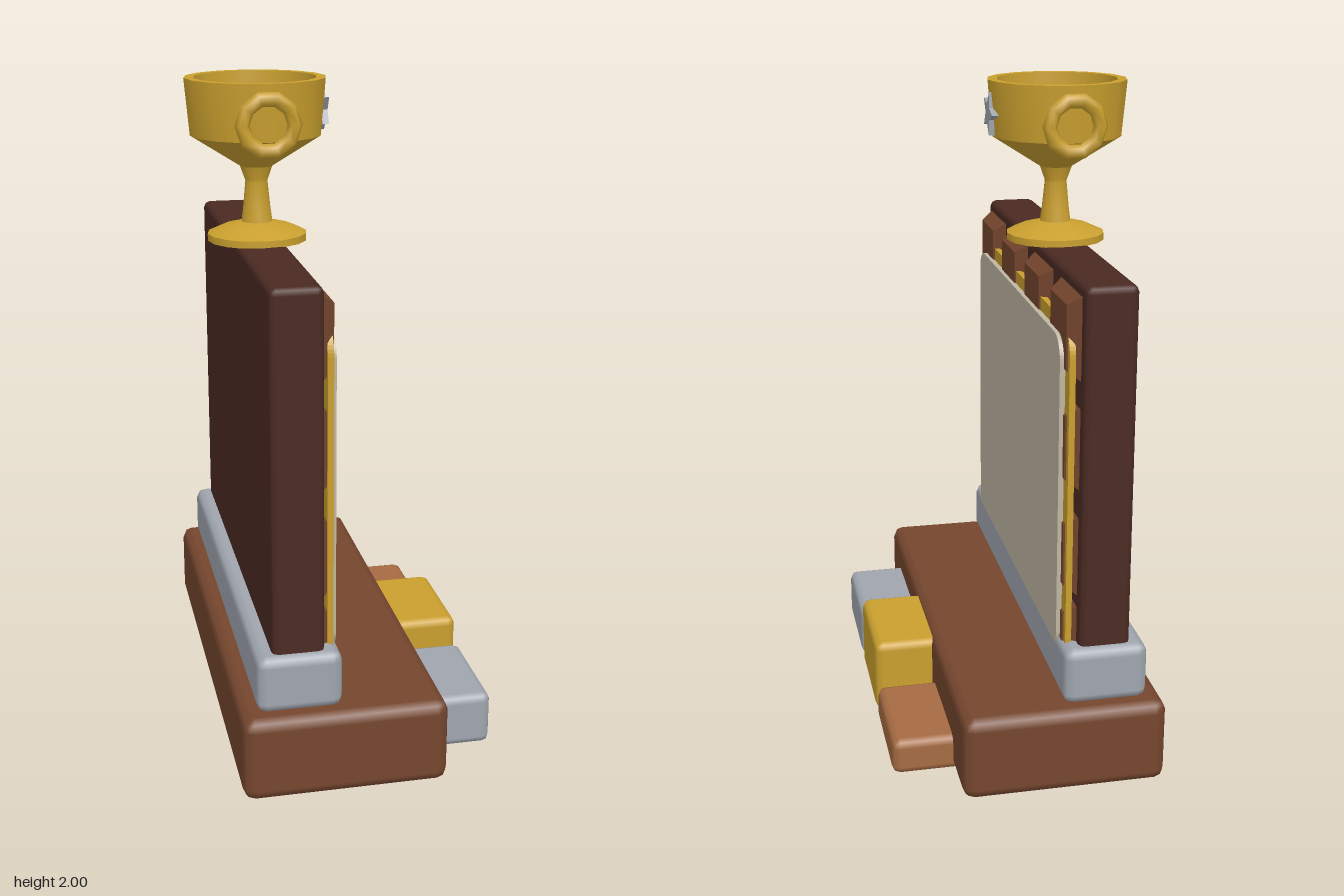
import * as THREE from 'three';
import { RoundedBoxGeometry } from 'three/addons/geometries/RoundedBoxGeometry.js';
import { toCreasedNormals } from 'three/addons/utils/BufferGeometryUtils.js';

const mat = (name, color) => new THREE.MeshStandardMaterial({ name, color });

export function createModel() {
  const model = new THREE.Group();
  const wood = mat('wood', 0x75462e);
  const darkWood = mat('dark wood', 0x4b2a23);
  const gold = mat('gold', 0xc99f2e);
  const silver = mat('silver', 0xa0a5ae);
  const bronze = mat('bronze', 0xa56b42);
  const cream = mat('cream', 0xc0b5a2);

  function add(name, geometry, material, parent = model) {
    const mesh = new THREE.Mesh(geometry, material);
    mesh.name = name;
    parent.add(mesh);
    return mesh;
  }

  // Bevelled block given by its extents on each axis
  function block(name, material, [x0, x1], [y0, y1], [z0, z1], bevel, parent) {
    const g = new RoundedBoxGeometry(x1 - x0, y1 - y0, z1 - z0, 1, bevel);
    g.translate((x0 + x1) / 2, (y0 + y1) / 2, (z0 + z1) / 2);
    return add(name, g, material, parent);
  }

  // Upright sheet with rounded corners, facing +x
  function sheet(name, material, x0, x1, halfWidth, y0, y1, r) {
    const w = halfWidth, s = new THREE.Shape();
    s.moveTo(-w + r, y0);
    s.lineTo(w - r, y0);
    s.absarc(w - r, y0 + r, r, -Math.PI / 2, 0);
    s.lineTo(w, y1 - r);
    s.absarc(w - r, y1 - r, r, 0, Math.PI / 2);
    s.lineTo(-w + r, y1);
    s.absarc(-w + r, y1 - r, r, Math.PI / 2, Math.PI);
    s.lineTo(-w, y0 + r);
    s.absarc(-w + r, y0 + r, r, Math.PI, Math.PI * 1.5);
    const g = new THREE.ExtrudeGeometry(s, { depth: x1 - x0, bevelEnabled: false, curveSegments: 6 });
    g.rotateY(Math.PI / 2).translate(x0, 0, 0);
    return add(name, g, material);
  }

  // Base, podium steps and holder bar
  block('base', wood, [-0.38, 0.235], [0, 0.26], [-0.75, 0.75], 0.035);
  block('secondPlaceStep', silver, [0.1, 0.42], [0.002, 0.17], [0.21, 0.57], 0.025);
  block('firstPlaceStep', gold, [0.1, 0.42], [0.002, 0.24], [-0.18, 0.18], 0.025);
  block('thirdPlaceStep', bronze, [0.1, 0.42], [0.002, 0.115], [-0.57, -0.21], 0.025);
  block('holderBar', silver, [-0.33, -0.075], [0.255, 0.43], [-0.7, 0.7], 0.03);

  // Back board
  block('backBoard', darkWood, [-0.28, -0.125], [0.3, 1.51], [-0.67, 0.67], 0.02);

  // Raised tiles: square frustums standing out from the board
  const tiles = new THREE.Group();
  tiles.name = 'tiles';
  model.add(tiles);
  const tileGeometry = new THREE.CylinderGeometry(0.095, 0.13, 0.05, 4, 1)
    .rotateY(Math.PI / 4).scale(Math.SQRT2, 1, Math.SQRT2)
    .rotateZ(-Math.PI / 2).toNonIndexed();
  tileGeometry.computeVertexNormals();
  for (const y of [1.355, 1.03, 0.7, 0.42]) {
    for (const z of [-0.51, -0.17, 0.17, 0.51]) {
      add('tile', tileGeometry, wood, tiles).position.set(-0.112, y, z);
    }
  }

  // Gold mount and cream panel in front of it
  sheet('goldMount', gold, -0.11, -0.092, 0.63, 0.35, 1.39, 0.09);
  sheet('panel', cream, -0.091, -0.075, 0.585, 0.375, 1.35, 0.07);

  // Trophy cup
  const trophy = new THREE.Group();
  trophy.name = 'trophy';
  trophy.position.x = -0.2;
  model.add(trophy);
  const profile = [
    [0, 1.508], [0.153, 1.508], [0.153, 1.53], [0.108, 1.55], [0.048, 1.565],
    [0.042, 1.61], [0.034, 1.69], [0.05, 1.735], [0.2, 1.83], [0.215, 2],
    [0.186, 2], [0.178, 1.86], [0.09, 1.8], [0, 1.78],
  ].map(([r, y]) => new THREE.Vector2(r, y));
  add('cup', toCreasedNormals(new THREE.LatheGeometry(profile, 16), 0.5), gold, trophy);

  // Ring handles on both sides
  for (const side of [-1, 1]) {
    add('handle', new THREE.TorusGeometry(0.077, 0.022, 6, 10), gold, trophy)
      .position.set(0, 1.885, side * 0.232);
  }

  // Five-pointed star on the front of the bowl
  const star = new THREE.Shape();
  for (let i = 0; i < 10; i++) {
    const r = i % 2 ? 0.03 : 0.068, a = i * Math.PI / 5;
    star[i ? 'lineTo' : 'moveTo'](r * Math.cos(a), r * Math.sin(a));
  }
  star.closePath();
  const starGeometry = new THREE.ExtrudeGeometry(star, { depth: 0.02, bevelEnabled: false });
  starGeometry.rotateY(Math.PI / 2);
  add('star', starGeometry, silver, trophy).position.set(0.195, 1.9, 0);

  return model;
}
